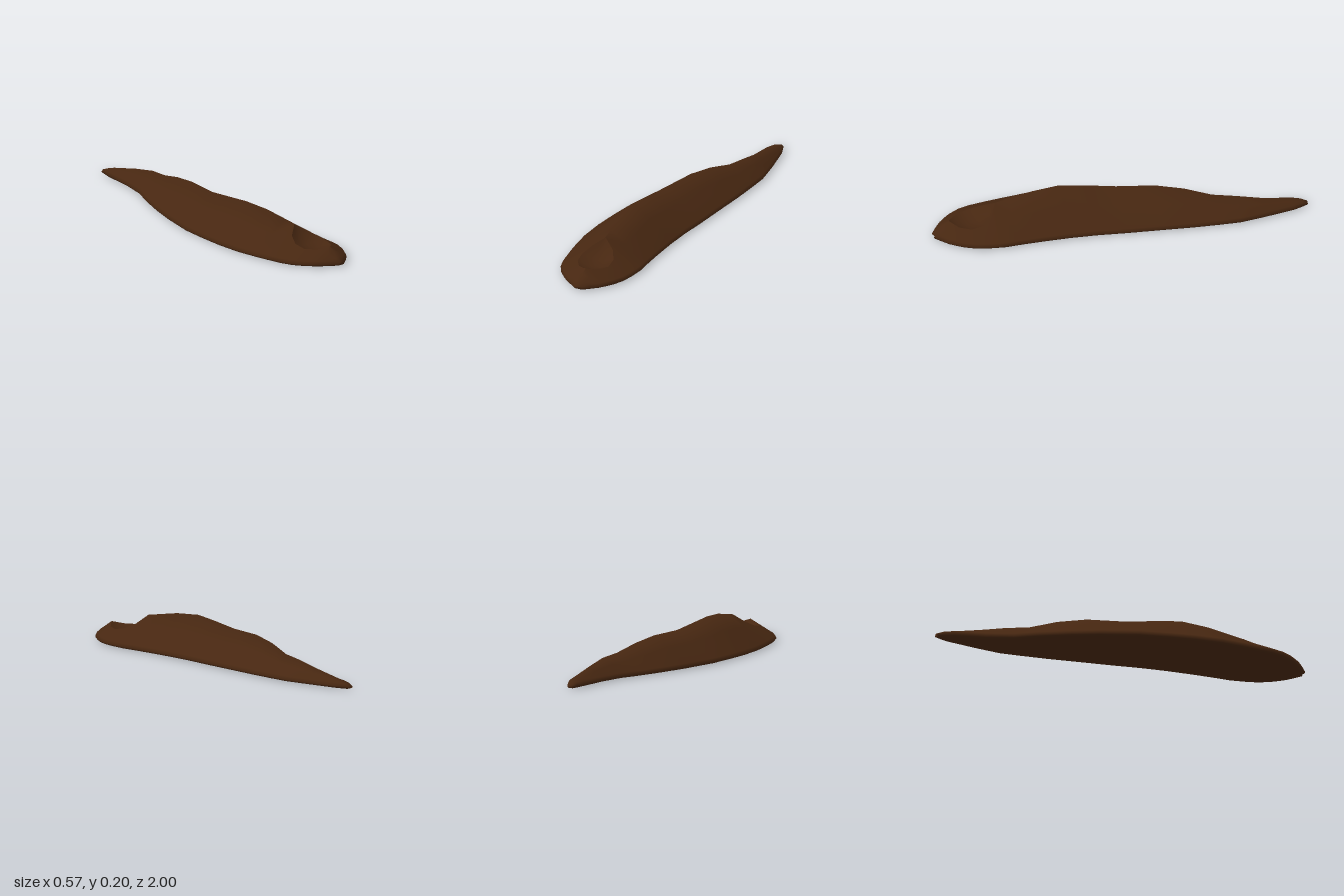
import * as THREE from 'three';

// Cross-sections from tail to head: z, left edge x, ridge x, right edge x, ridge height
const stations = [
  [-1, 0.185, 0.2, 0.215, 0.018],
  [-0.97, 0.172, 0.2, 0.228, 0.03],
  [-0.92, 0.152, 0.2, 0.245, 0.045],
  [-0.75, 0.11, 0.193, 0.27, 0.08],
  [-0.61, 0.06, 0.172, 0.283, 0.106],
  [-0.49, -0.01, 0.14, 0.273, 0.116],
  [-0.35, -0.08, 0.09, 0.258, 0.15],
  [-0.2, -0.145, 0.045, 0.237, 0.17],
  [0, -0.217, -0.005, 0.21, 0.17],
  [0.16, -0.25, -0.035, 0.185, 0.187],
  [0.3, -0.273, -0.057, 0.17, 0.2],
  [0.45, -0.285, -0.057, 0.161, 0.19],
  [0.58, -0.28, -0.057, 0.157, 0.168],
  [0.655, -0.274, -0.057, 0.157, 0.155],
  [0.69, -0.27, -0.057, 0.152, 0.146],
  [0.745, -0.264, -0.057, 0.143, 0.132],
  [0.81, -0.247, -0.057, 0.127, 0.115],
  [0.87, -0.215, -0.057, 0.097, 0.1],
  [0.91, -0.183, -0.057, 0.068, 0.09],
  [0.94, -0.155, -0.057, 0.043, 0.07],
  [0.975, -0.11, -0.056, 0, 0.047],
  [1, -0.075, -0.055, -0.035, 0.022],
];

// Hollow near the head: first station, half-widths and floor heights
const hollowStart = 13;
const hollowWidth = [0.005, 0.06, 0.09, 0.09, 0.055, 0.005];
const hollowFloor = [0.155, 0.09, 0.06, 0.052, 0.065, 0.09];
const inHollow = (i) => i >= hollowStart && i < hollowStart + hollowWidth.length;

// One side of a section, from just below the ridge down to the base
function halfSection(i, side) {
  const [z, left, ridge, right, height] = stations[i];
  const edge = side < 0 ? left : right;
  const half = Math.abs(edge - ridge);
  const bevel = Math.min(0.024, half * 0.35);
  const shoulderX = edge - side * bevel * 0.4;
  const shoulderY = Math.min(0.03, height * 0.85);
  const t = inHollow(i) ? hollowWidth[i - hollowStart] / Math.abs(shoulderX - ridge) : 0.45;
  return [
    [ridge + (shoulderX - ridge) * t, height + (shoulderY - height) * t, z],
    [shoulderX, shoulderY, z * 0.996],
    [edge, Math.min(0.014, height * 0.6), z],
    [edge - side * bevel * 0.3, 0.004, z * 0.996],
    [edge - side * bevel, 0, z * 0.985],
  ];
}

// Joins equal-length rows of points into a surface
function surface(rows, skip = () => false, flip = false, caps = false) {
  const n = rows[0].length;
  const index = [];
  const tri = (a, b, c) => index.push(...(flip ? [a, c, b] : [a, b, c]));
  for (let i = 0; i < rows.length - 1; i++) {
    for (let j = 0; j < n - 1; j++) {
      if (skip(i, j)) continue;
      const a = i * n + j, c = a + n;
      tri(a, c, a + 1);
      tri(a + 1, c, c + 1);
    }
  }
  if (caps) {
    const last = (rows.length - 1) * n;
    for (let j = 1; j < n - 1; j++) {
      tri(0, j, j + 1);
      tri(last, last + j + 1, last + j);
    }
  }
  const geometry = new THREE.BufferGeometry();
  geometry.setAttribute('position', new THREE.Float32BufferAttribute(rows.flat(2), 3));
  geometry.setIndex(index);
  geometry.computeVertexNormals();
  return geometry;
}

export function createModel() {
  const group = new THREE.Group();
  const brown = new THREE.MeshStandardMaterial({ color: 0x472711 });
  brown.name = 'dark brown';
  const add = (name, geometry) => {
    const mesh = new THREE.Mesh(geometry, brown);
    mesh.name = name;
    group.add(mesh);
  };

  // Ridged body, open where the hollow sits
  const rows = stations.map(([z, , ridge, , height], i) => [
    ...halfSection(i, -1).reverse(),
    [ridge, height, z],
    ...halfSection(i, 1),
  ]);
  add('body', surface(rows, (i, j) => inHollow(i) && inHollow(i + 1) && (j === 4 || j === 5), false, true));

  // Bowl-shaped hollow, hung from the rim of the opening
  const bowl = hollowWidth.map((w, k) => {
    const row = rows[hollowStart + k];
    const [ridge, , z] = row[5];
    return [-1, -0.5, 0, 0.5, 1].map((c) => {
      const rim = row[c < 0 ? 4 : 6];
      const y = c === 0 ? hollowFloor[k] : rim[1] + (hollowFloor[k] - rim[1]) * (1 - c * c);
      return [ridge + c * w, y, z];
    });
  });
  add('hollow', surface(bowl));

  // Flat underside
  add('underside', surface(rows.map((row) => [row[0], row[10]]), undefined, true));
  return group;
}
